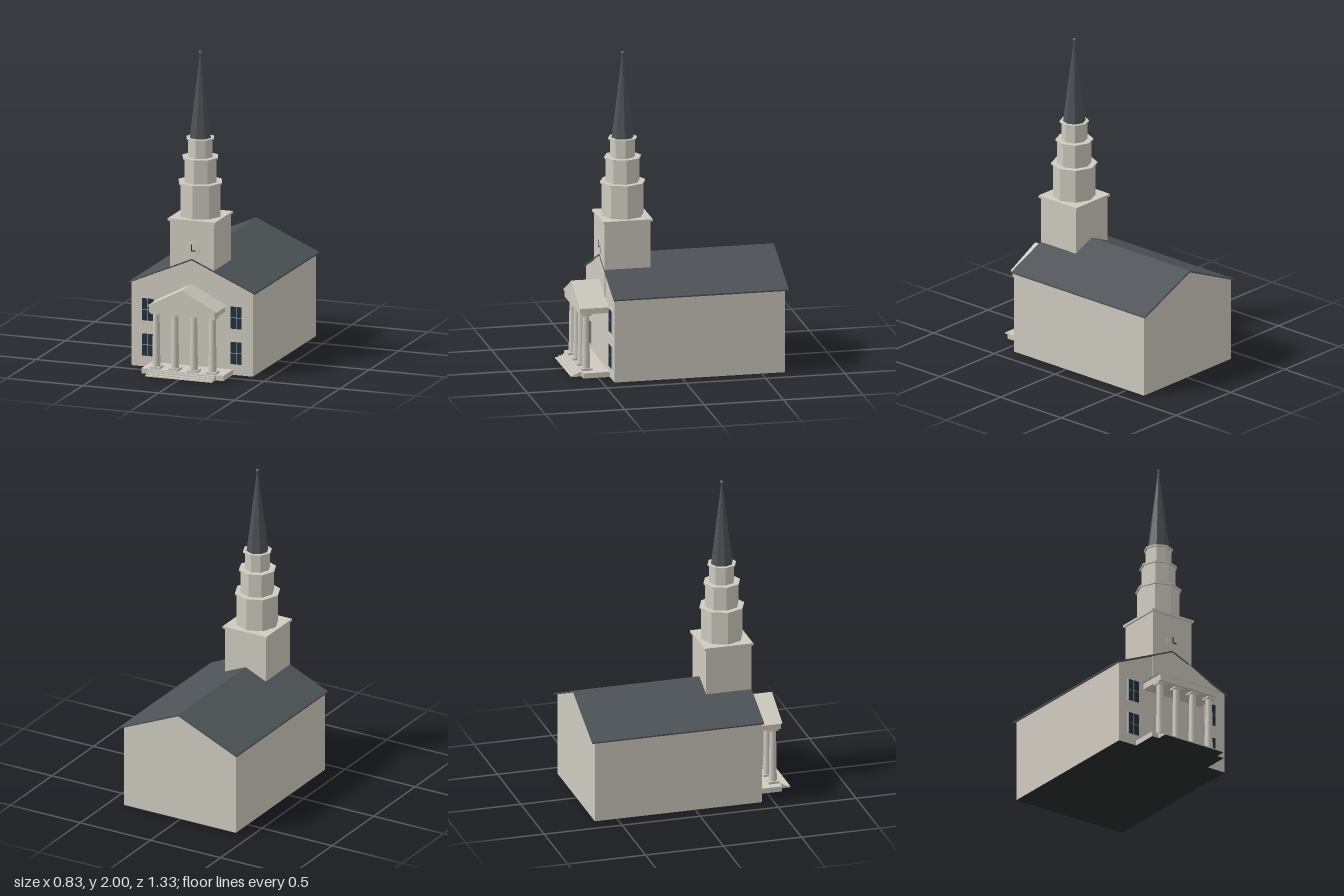
import * as THREE from 'three';

export function createModel() {
  const group = new THREE.Group();
  const mat = (name, color, side = THREE.FrontSide) => {
    const m = new THREE.MeshStandardMaterial({ color, side });
    m.name = name;
    return m;
  };
  const cream = mat('cream paint', 0xcfcbc1);
  const slate = mat('slate roof', 0x4e5357);
  const glass = mat('window glass', 0x22323f);
  const black = mat('black', 0x2a2b2c);
  const metal = mat('finial metal', 0x6c6f72);

  const add = (name, geo, material, x = 0, y = 0, z = 0, parent = group) => {
    const mesh = new THREE.Mesh(geo, material);
    mesh.name = name;
    mesh.position.set(x, y, z);
    parent.add(mesh);
    return mesh;
  };
  // Box given by centre x, bottom y and back/front z
  const box = (name, material, x, w, y0, y1, z0, z1, parent) =>
    add(name, new THREE.BoxGeometry(w, y1 - y0, z1 - z0), material, x, (y0 + y1) / 2, (z0 + z1) / 2, parent);
  // Outline in x and y, extruded from z0 to z1
  const prism = (name, material, pts, z0, z1) => {
    const shape = new THREE.Shape(pts.map(([x, y]) => new THREE.Vector2(x, y)));
    return add(name, new THREE.ExtrudeGeometry(shape, { depth: z1 - z0, bevelEnabled: false }), material, 0, 0, z0);
  };
  const octagon = (name, material, r0, r1, y0, y1) => {
    const geo = new THREE.CylinderGeometry(r1, r0, y1 - y0, 8).toNonIndexed();
    geo.computeVertexNormals();
    return add(name, geo, material, 0, (y0 + y1) / 2, towerZ);
  };
  const towerZ = 0.288;

  // Hall and gabled roof
  prism('hall', cream, [[-0.4, 0.003], [0.4, 0.003], [0.4, 0.53], [0, 0.703], [-0.4, 0.53]], -0.645, 0.428);
  prism('roof', slate, [[-0.415, 0.525], [0, 0.705], [0.415, 0.525], [0.415, 0.534], [0, 0.715], [-0.415, 0.534]], -0.665, 0.436);
  box('floor', black, 0, 0.8, 0, 0.003, -0.645, 0.428);
  box('porchUnderside', black, 0, 0.54, 0, 0.003, 0.428, 0.595);
  box('stepUnderside', black, 0, 0.44, 0, 0.003, 0.595, 0.662);

  // Square tower with cornice
  box('tower', cream, 0, 0.29, 0.4, 0.947, 0.145, 0.434);
  box('towerCornice', cream, 0, 0.312, 0.945, 0.96, towerZ - 0.156, towerZ + 0.156);

  // Octagonal tiers, each with a cornice: radius, bottom, top
  for (const [r, y0, y1] of [[0.132, 0.96, 1.165], [0.106, 1.175, 1.322], [0.08, 1.332, 1.443]]) {
    octagon('belfryTier', cream, r, r, y0, y1);
    octagon('tierCornice', cream, r + 0.011, r + 0.011, y1, y1 + 0.01);
  }
  octagon('spire', slate, 0.069, 0.003, 1.453, 1.985);
  add('finial', new THREE.SphereGeometry(0.01, 12, 8), metal, 0, 1.99, towerZ);

  // Clock on the tower
  const clock = new THREE.Group();
  clock.name = 'clock';
  clock.position.set(0, 0.768, 0.434);
  group.add(clock);
  const dial = add('clockFace', new THREE.CylinderGeometry(0.05, 0.05, 0.005, 32), cream, 0, 0, 0.0025, clock);
  dial.rotation.x = Math.PI / 2;
  box('minuteHand', black, 0, 0.007, -0.004, 0.038, 0.005, 0.008, clock);
  box('hourHand', black, 0.012, 0.027, -0.004, 0.003, 0.005, 0.008, clock);

  // Front windows: arched surround, two sashes with a meeting rail
  for (const side of [-1, 1]) {
    for (const y of [0.072, 0.296]) {
      const win = new THREE.Group();
      win.name = 'window';
      win.position.set(side * 0.291, y, 0.428);
      group.add(win);
      const s = new THREE.Shape();
      s.moveTo(-0.043, -0.006);
      s.lineTo(0.043, -0.006);
      s.lineTo(0.043, 0.143);
      s.quadraticCurveTo(0, 0.167, -0.043, 0.143);
      s.closePath();
      add('windowSurround', new THREE.ExtrudeGeometry(s, { depth: 0.003, bevelEnabled: false, curveSegments: 8 }), cream, 0, 0, 0, win);
      for (const px of [-0.0192, 0.0192]) {
        for (const py of [0, 0.072]) box('windowPane', glass, px, 0.034, py, py + 0.068, 0.003, 0.006, win);
      }
    }
  }

  // Porch floor and steps
  box('porchFloor', cream, 0, 0.54, 0.003, 0.036, 0.42, 0.595);
  [0.662, 0.645, 0.625, 0.61].forEach((z, i) => {
    box('step', cream, 0, 0.44, 0.003 + i * 0.0075, 0.003 + (i + 1) * 0.0075, 0.59, z);
  });

  // Columns
  const shaft = new THREE.CylinderGeometry(0.02, 0.025, 0.335, 20);
  for (const x of [-0.185, -0.062, 0.062, 0.185]) {
    box('columnPlinth', cream, x, 0.066, 0.036, 0.05, 0.527, 0.593);
    add('columnShaft', shaft, cream, x, 0.2175, 0.56);
    box('columnCapital', cream, x, 0.056, 0.384, 0.397, 0.532, 0.588);
  }

  // Entablature and pediment
  box('entablature', cream, 0, 0.43, 0.396, 0.438, 0.42, 0.605);
  prism('pediment', cream, [[-0.23, 0.436], [0.23, 0.436], [0, 0.556]], 0.42, 0.61);

  return group;
}
